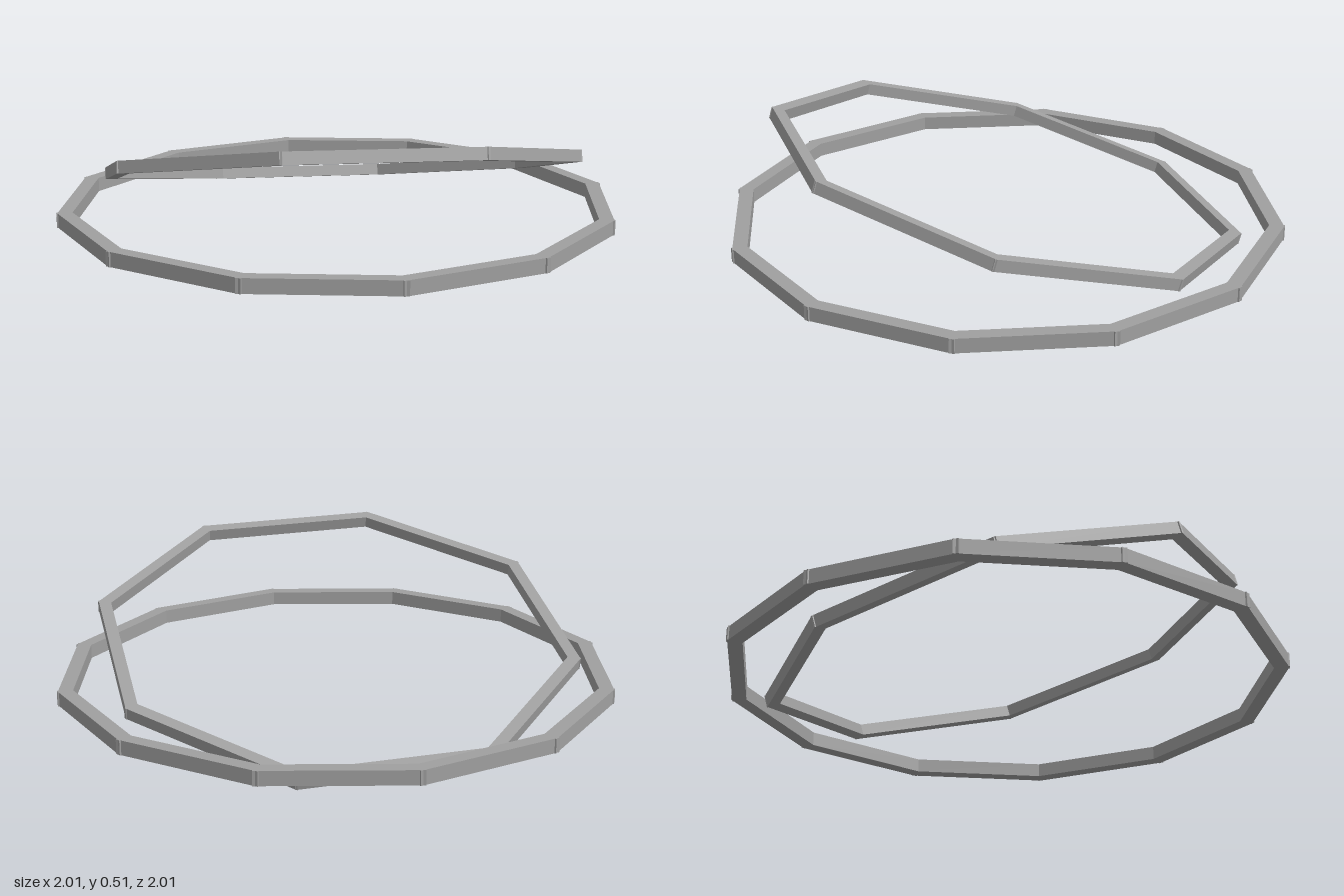
import * as THREE from 'three';

const steel = new THREE.MeshStandardMaterial({ color: 0xa0a0a0 });
steel.name = 'grey steel';

// Polygonal ring of straight bars, with flats facing the axes and bar ends overlapping at the corners
function barRing(name, sides, apothem, length, height, width) {
  const ring = new THREE.Group();
  ring.name = name;
  const bar = new THREE.BoxGeometry(length, height, width);
  for (let i = 0; i < sides; i++) {
    const a = (i / sides) * Math.PI * 2;
    const mesh = new THREE.Mesh(bar, steel);
    mesh.name = name + 'Bar' + (i + 1);
    mesh.position.set(Math.sin(a) * apothem, 0, Math.cos(a) * apothem);
    mesh.rotation.y = a;
    ring.add(mesh);
  }
  return ring;
}

export function createModel() {
  const model = new THREE.Group();
  model.name = 'nestedRings';

  // Level twelve-sided outer ring
  const outer = barRing('outerRing', 12, 0.973, 0.555, 0.053, 0.053);
  outer.position.y = 0.102;
  model.add(outer);

  // Tilted eight-sided inner ring, high at the front left
  const inner = barRing('innerRing', 8, 0.813, 0.7, 0.044, 0.044);
  inner.rotation.set(THREE.MathUtils.degToRad(-12), 0, THREE.MathUtils.degToRad(10), 'ZXY');
  inner.position.set(-0.004, 0.254, -0.004);
  model.add(inner);

  return model;
}
